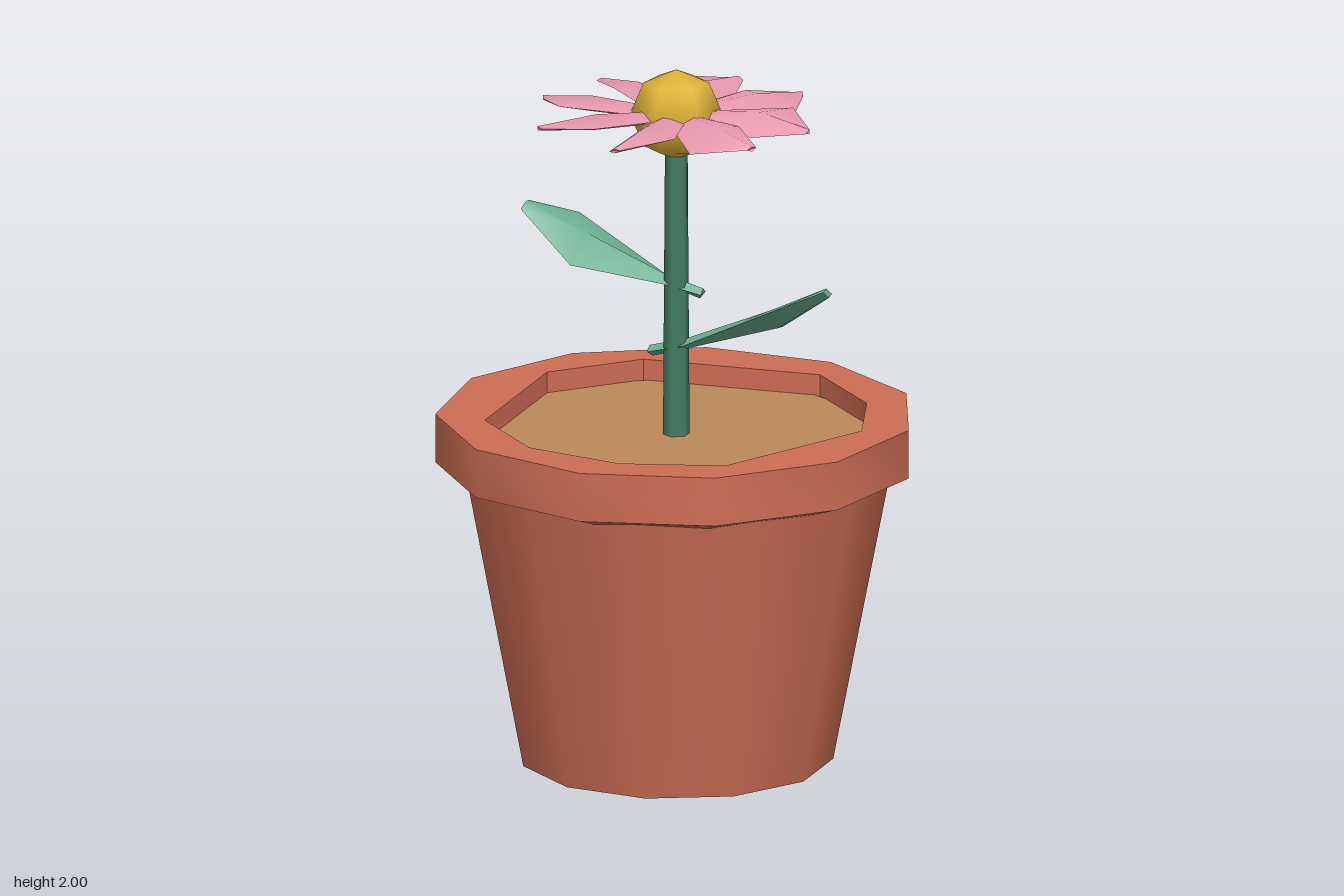
import * as THREE from 'three';
import { toCreasedNormals } from 'three/addons/utils/BufferGeometryUtils.js';

const rad = THREE.MathUtils.degToRad;

function material(name, color) {
  const m = new THREE.MeshStandardMaterial({ color });
  m.name = name;
  return m;
}

function part(name, geometry, mat, y = 0) {
  const mesh = new THREE.Mesh(geometry, mat);
  mesh.name = name;
  mesh.position.y = y;
  return mesh;
}

// Closed skin over four-sided sections, each ordered front, top, back, bottom
function loft(sections) {
  const index = [];
  const last = (sections.length - 1) * 4;
  for (let i = 0; i < last; i += 4) {
    for (let j = 0; j < 4; j++) {
      const k = (j + 1) % 4;
      index.push(i + j, i + 4 + j, i + 4 + k, i + j, i + 4 + k, i + k);
    }
  }
  index.push(0, 1, 2, 0, 2, 3, last, last + 2, last + 1, last, last + 3, last + 2);
  const g = new THREE.BufferGeometry();
  g.setAttribute('position', new THREE.Float32BufferAttribute(sections.flat(2), 3));
  g.setIndex(index);
  return toCreasedNormals(g, rad(50));
}

// Thick rim: eleven-sided outside, uneven nine-sided opening
function rimGeometry() {
  const outer = [];
  for (let i = 0; i < 11; i++) {
    const a = rad(-4) + (i / 11) * Math.PI * 2;
    outer.push(new THREE.Vector2(0.675 * Math.sin(a), -0.675 * Math.cos(a)));
  }
  const opening = [
    [-0.48, -0.27], [-0.48, 0.25], [-0.27, 0.47], [0.02, 0.54], [0.31, 0.46],
    [0.55, 0], [0.47, -0.27], [0.25, -0.5], [-0.27, -0.485],
  ].map(([x, z]) => new THREE.Vector2(x, -z));
  const shape = new THREE.Shape(outer);
  shape.holes.push(new THREE.Path(opening));
  const g = new THREE.ExtrudeGeometry(shape, { depth: 0.14, bevelEnabled: false });
  g.rotateX(-Math.PI / 2);
  return toCreasedNormals(g, rad(36));
}

// Leaf with a twisted broad middle, growing toward +x
function leafGeometry() {
  return loft([
    [[-0.08, 0, 0.02], [-0.08, 0.015, 0], [-0.08, 0, -0.02], [-0.07, -0.015, 0]],
    [[0.03, 0.03, 0.03], [0.03, 0.045, 0], [0.03, 0.025, -0.03], [0.03, 0.015, 0]],
    [[0.32, 0.175, 0.09], [0.28, 0.15, 0], [0.28, 0.075, -0.1], [0.3, 0.1, 0]],
    [[0.44, 0.22, 0.01], [0.44, 0.225, -0.015], [0.45, 0.205, -0.035], [0.45, 0.2, -0.01]],
  ]);
}

// Petal along +x whose tip leans to one side (lean = 1 or -1)
function petalGeometry(lean) {
  const near = [0.25, 0.075];
  const far = [0.31, 0.105];
  const [front, back] = lean > 0 ? [near, far] : [far, near];
  const tip = 0.04 * lean;
  return loft([
    [[0.06, -0.01, 0.05], [0.06, 0.015, 0], [0.06, 0, -0.05], [0.06, -0.02, 0]],
    [[front[0], -0.025, front[1]], [0.25, 0.03, 0], [back[0], 0.02, -back[1]], [0.25, -0.015, 0]],
    [[0.405, -0.005, tip + 0.015], [0.41, 0.005, tip], [0.405, 0, tip - 0.015], [0.41, -0.008, tip]],
  ]);
}

export function createModel() {
  const terracotta = material('terracotta', 0xcd6d53);
  const earth = material('earth', 0xbb895a);
  const stemGreen = material('stem green', 0x427f64);
  const leafGreen = material('leaf green', 0x69ab8e);
  const pink = material('petal pink', 0xe999b0);
  const gold = material('gold', 0xdfb236);
  const model = new THREE.Group();
  model.name = 'pottedFlower';

  // Pot and soil
  const pot = new THREE.Group();
  pot.name = 'pot';
  pot.add(
    part('potBody', new THREE.CylinderGeometry(0.605, 0.44, 0.86, 11, 1, false, rad(-90)), terracotta, 0.43),
    part('rimUnderside', new THREE.CylinderGeometry(0.673, 0.575, 0.035, 11, 1, true, rad(-4)), terracotta, 0.8425),
    part('rim', rimGeometry(), terracotta, 0.86),
    part('soil', new THREE.CylinderGeometry(0.57, 0.57, 0.04, 11), earth, 0.92),
  );
  model.add(pot);

  // Stem and a pair of opposite leaves
  model.add(part('stem', new THREE.CylinderGeometry(0.032, 0.038, 0.9, 6), stemGreen, 1.37));
  const leaf = leafGeometry();
  const lowerLeaf = part('lowerLeaf', leaf, leafGreen, 1.175);
  const upperLeaf = part('upperLeaf', leaf, leafGreen, 1.355);
  upperLeaf.rotation.y = Math.PI;
  model.add(lowerLeaf, upperLeaf);

  // Flower head: eight leaning petals around a rounded centre
  const flower = new THREE.Group();
  flower.name = 'flower';
  flower.position.y = 1.87;
  [1, -1, 1, -1, 1, 1, 1, -1].forEach((lean, i) => {
    const petal = part('petal', petalGeometry(lean), pink);
    petal.rotation.y = (i * Math.PI) / 4;
    flower.add(petal);
  });
  const centre = part('flowerCentre', new THREE.SphereGeometry(0.13, 6, 4), gold);
  centre.rotation.y = rad(20);
  flower.add(centre);
  model.add(flower);

  return model;
}
